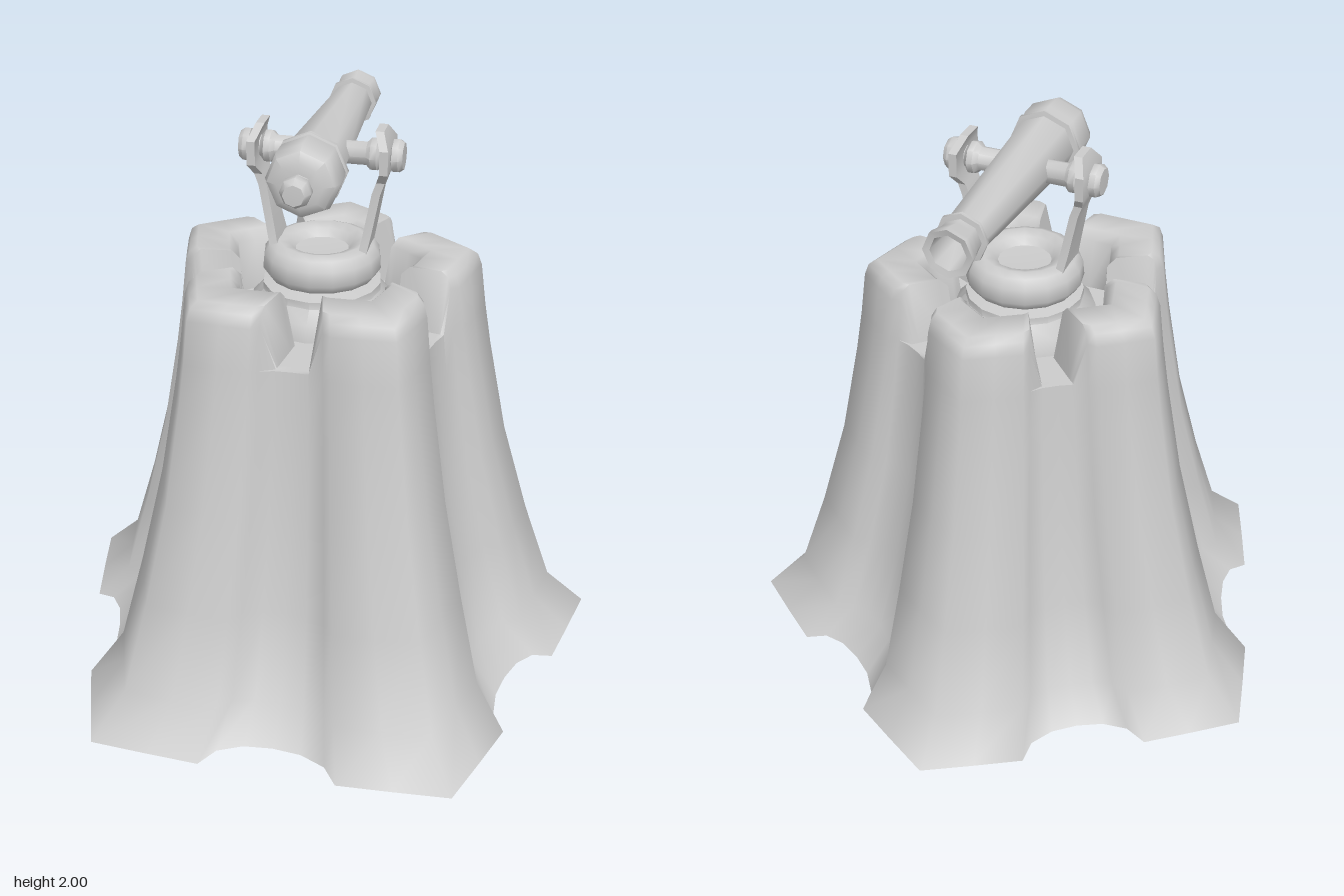
import * as THREE from 'three';
import { toCreasedNormals } from 'three/addons/utils/BufferGeometryUtils.js';

const AXIS_Z = 0.045; // z of the turning axis
const BORE_Y = 1.88; // height of the barrel and trunnions

const makeMaterial = () => new THREE.MeshStandardMaterial({ color: 0xcccccc, side: THREE.DoubleSide });

function addMesh(parent, name, geometry, crease = 0.8) {
  const mesh = new THREE.Mesh(toCreasedNormals(geometry, crease), makeMaterial());
  mesh.name = name;
  parent.add(mesh);
  return mesh;
}

// Joins rings of [x, y, z] points into one skin, optionally capping both ends
function loft(rings, capped = false) {
  const n = rings[0].length;
  const index = [];
  for (let j = 0; j < rings.length - 1; j++) {
    for (let i = 0; i < n; i++) {
      const a = j * n + i, b = j * n + (i + 1) % n;
      index.push(a, a + n, b, b, a + n, b + n);
    }
  }
  if (capped) {
    const top = (rings.length - 1) * n;
    for (let i = 1; i < n - 1; i++) {
      index.push(0, i, i + 1, top, top + i + 1, top + i);
    }
  }
  const geometry = new THREE.BufferGeometry();
  geometry.setAttribute('position', new THREE.Float32BufferAttribute(rings.flat(2), 3));
  geometry.setIndex(index);
  geometry.computeVertexNormals();
  return geometry;
}

function lathe(profile, sides) {
  return new THREE.LatheGeometry(profile.map(([r, y]) => new THREE.Vector2(r, y)), sides);
}

// Five-cornered flared tower: [position along an edge, bulge (+) or dent (-)]
const EDGE = [[0, 0], [0.16, 0.2], [0.31, 0.35], [0.35, -0.5], [0.42, -0.9], [0.5, -1],
  [0.58, -0.9], [0.65, -0.5], [0.69, 0.35], [0.84, 0.2]];
const CORNER_SCALE = [0.94, 1, 1.05, 1.05, 1];

function towerRing(y, radius, dent) {
  const corner = (i) => {
    const a = -Math.PI / 2 + i * Math.PI * 0.4;
    const r = radius * CORNER_SCALE[i % 5];
    return [Math.cos(a) * r, Math.sin(a) * r];
  };
  const ring = [];
  for (let i = 0; i < 5; i++) {
    const [ax, az] = corner(i), [bx, bz] = corner(i + 1);
    const mid = -Math.PI / 2 + (i + 0.5) * Math.PI * 0.4;
    for (const [t, k] of EDGE) {
      // The middle of each edge stops low, which leaves a notch between the merlons
      let py = Math.abs(t - 0.5) < 0.1 ? Math.min(y, 1.3) : y;
      if (y === 0) py += k < 0 ? -0.03 * k : 0;
      ring.push([
        ax + (bx - ax) * t + Math.cos(mid) * k * dent,
        py,
        AXIS_Z + az + (bz - az) * t + Math.sin(mid) * k * dent,
      ]);
    }
  }
  return ring;
}

function buildTower(parent) {
  // [height, corner radius, dent depth]: up the outside, over the rim, down to the floor
  const rows = [[0, 1.01, 0.07], [0.14, 0.865, 0.06], [0.45, 0.76, 0.06], [0.8, 0.66, 0.05],
    [1.15, 0.59, 0.035], [1.3, 0.565, 0.03], [1.45, 0.545, 0.025], [1.49, 0.53, 0.02],
    [1.51, 0.5, 0.015], [1.51, 0.37, 0.01], [1.48, 0.335, 0.01], [1.3, 0.32, 0], [1.3, 0, 0]];
  addMesh(parent, 'tower', loft(rows.map((row) => towerRing(...row))), 1.3);
}

function buildMount(parent) {
  // Turntable with a dished top
  const turntable = addMesh(parent, 'turntable', lathe([[0.25, 1.29], [0.24, 1.36], [0.2, 1.4],
    [0.2, 1.425], [0.14, 1.435], [0.18, 1.45], [0.2, 1.48], [0.195, 1.53], [0.175, 1.56],
    [0.145, 1.572], [0.11, 1.56], [0.09, 1.535], [0, 1.53]], 16));
  turntable.position.z = AXIS_Z;

  // Yoke arms: [height, distance from centre, half depth]
  const rows = [[1.48, 0.14, 0.085], [1.56, 0.15, 0.07], [1.62, 0.162, 0.06], [1.76, 0.188, 0.05],
    [1.8, 0.202, 0.05], [1.84, 0.217, 0.085], [1.92, 0.217, 0.085], [1.97, 0.195, 0.038]];
  for (const side of [1, -1]) {
    const h = 0.014;
    const rings = rows.map(([y, x, d]) => [[h, -d], [h, d], [-h, d], [-h, -d]]
      .map(([dx, dz]) => [side * x + dx, y, AXIS_Z + dz]));
    addMesh(parent, side > 0 ? 'leftYokeArm' : 'rightYokeArm', loft(rings, true), 0.6);
  }
}

function buildCannon(parent) {
  const cannon = new THREE.Group();
  cannon.name = 'cannon';
  cannon.position.y = BORE_Y;
  parent.add(cannon);

  // Barrel from the bore, round the muzzle, back to the breech knob
  const barrel = lathe([[0, -0.4], [0.05, -0.4], [0.06, -0.545], [0.082, -0.55], [0.082, -0.53],
    [0.068, -0.48], [0.068, -0.455], [0.085, -0.453], [0.085, -0.44], [0.07, -0.438],
    [0.105, 0.205], [0.122, 0.208], [0.122, 0.222], [0.115, 0.225], [0.12, 0.25], [0.12, 0.32],
    [0.108, 0.352], [0.075, 0.37], [0.04, 0.372], [0.036, 0.385], [0.05, 0.397],
    [0.05, 0.425], [0.035, 0.45], [0, 0.452]], 8);
  barrel.rotateX(Math.PI / 2);
  addMesh(cannon, 'barrel', barrel, 0.85);

  // Trunnion pins with end caps, one on each side
  const half = [[0.04, 0], [0.04, 0.15], [0.055, 0.165], [0.055, 0.185], [0.036, 0.2],
    [0.036, 0.23], [0.056, 0.235], [0.056, 0.255], [0.045, 0.27], [0, 0.271]];
  for (const side of [1, -1]) {
    const pin = lathe(half, 8);
    pin.rotateZ(-side * Math.PI / 2);
    addMesh(cannon, side > 0 ? 'leftTrunnion' : 'rightTrunnion', pin).position.z = AXIS_Z;
  }
}

export function createModel() {
  const model = new THREE.Group();
  model.name = 'cannonTower';
  buildTower(model);
  buildMount(model);
  buildCannon(model);
  return model;
}
